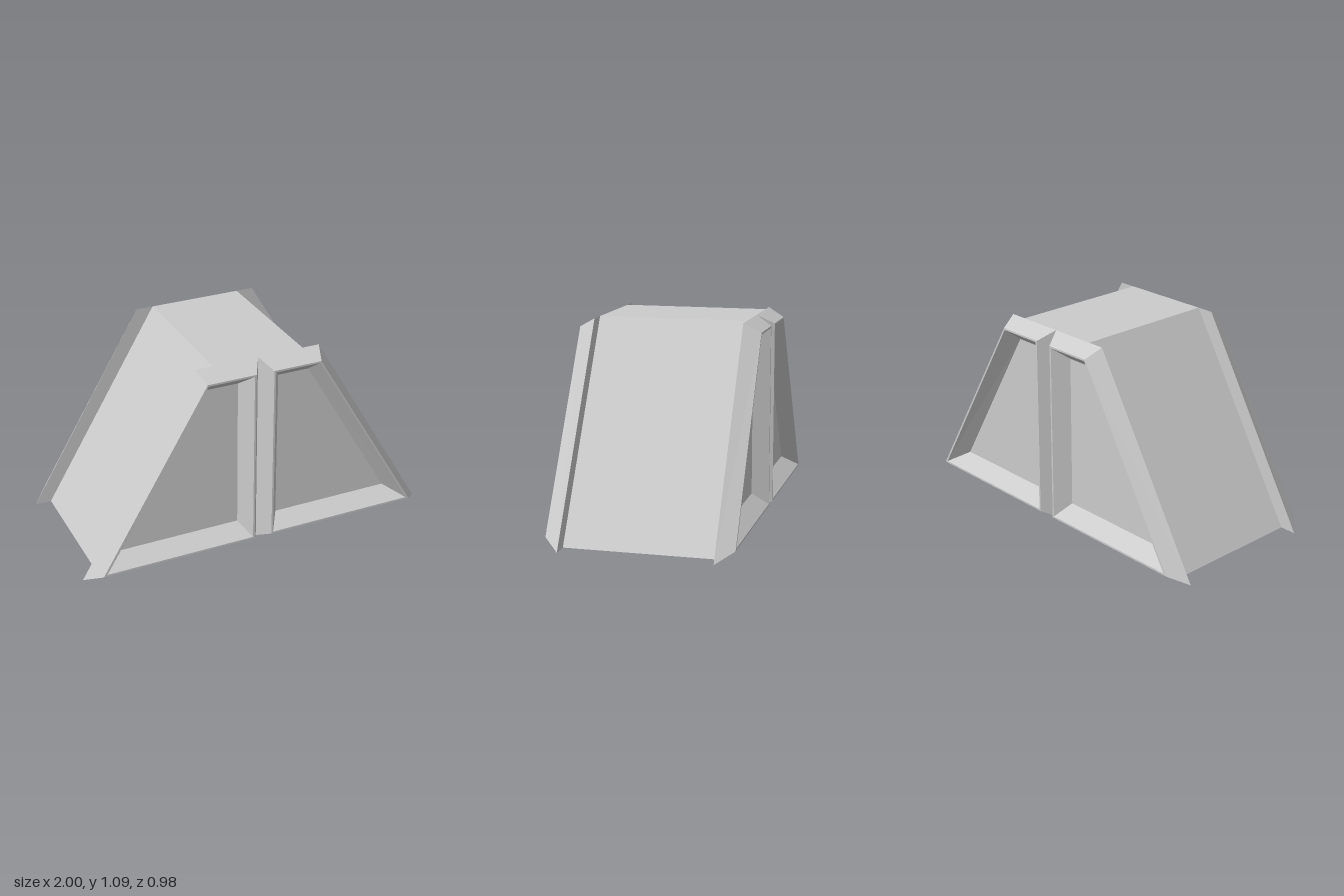
import * as THREE from 'three';

const material = new THREE.MeshStandardMaterial({ color: 0xcccccc, flatShading: true });

// One half of a framed end panel: four quad loops running from the back edge,
// over the bevel and the narrow rim, down into the recess.
const loops = [
  { z: 0.40, pts: [[0, 0], [1, 0], [0.35, 1.09], [0, 1.09]] },
  { z: 0.49, pts: [[0.05, 0.05], [0.915, 0.05], [0.32, 1.04], [0.05, 1.04]] },
  { z: 0.49, pts: [[0.06, 0.06], [0.895, 0.06], [0.315, 1.03], [0.06, 1.03]] },
  { z: 0.405, pts: [[0.115, 0.13], [0.785, 0.13], [0.29, 0.965], [0.115, 0.965]] },
];

function panelGeometry(sx, sz) {
  const rings = loops.map(({ z, pts }) => pts.map(([x, y]) => [x * sx, y, z * sz]));
  const pos = [];
  const quad = (a, b, c, d) => {
    // mirroring once turns the corner order round
    const q = sx * sz > 0 ? [a, b, c, a, c, d] : [a, c, b, a, d, c];
    q.forEach((p) => pos.push(...p));
  };
  for (let r = 0; r < rings.length - 1; r++) {
    for (let i = 0; i < 4; i++) {
      const j = (i + 1) % 4;
      quad(rings[r][i], rings[r][j], rings[r + 1][j], rings[r + 1][i]);
    }
  }
  quad(...rings[rings.length - 1]); // recess floor
  quad(...[...rings[0]].reverse()); // back of the panel
  const g = new THREE.BufferGeometry();
  g.setAttribute('position', new THREE.Float32BufferAttribute(pos, 3));
  g.computeVertexNormals();
  return g;
}

export function createModel() {
  const model = new THREE.Group();
  model.name = 'taperedBlock';

  // Trapezoid core between the two end panels
  const outline = new THREE.Shape([[-0.91, 0], [0.91, 0], [0.255, 1.09], [-0.255, 1.09]]
    .map(([x, y]) => new THREE.Vector2(x, y)));
  const coreGeometry = new THREE.ExtrudeGeometry(outline, { depth: 0.8, bevelEnabled: false });
  coreGeometry.translate(0, 0, -0.4);
  const core = new THREE.Mesh(coreGeometry, material);
  core.name = 'core';
  model.add(core);

  // Two recessed panels on each end
  for (const sz of [1, -1]) {
    const end = new THREE.Group();
    end.name = sz > 0 ? 'frontPanels' : 'backPanels';
    for (const sx of [1, -1]) {
      const panel = new THREE.Mesh(panelGeometry(sx, sz), material);
      panel.name = sx > 0 ? 'leftPanel' : 'rightPanel';
      end.add(panel);
    }
    model.add(end);
  }
  return model;
}
